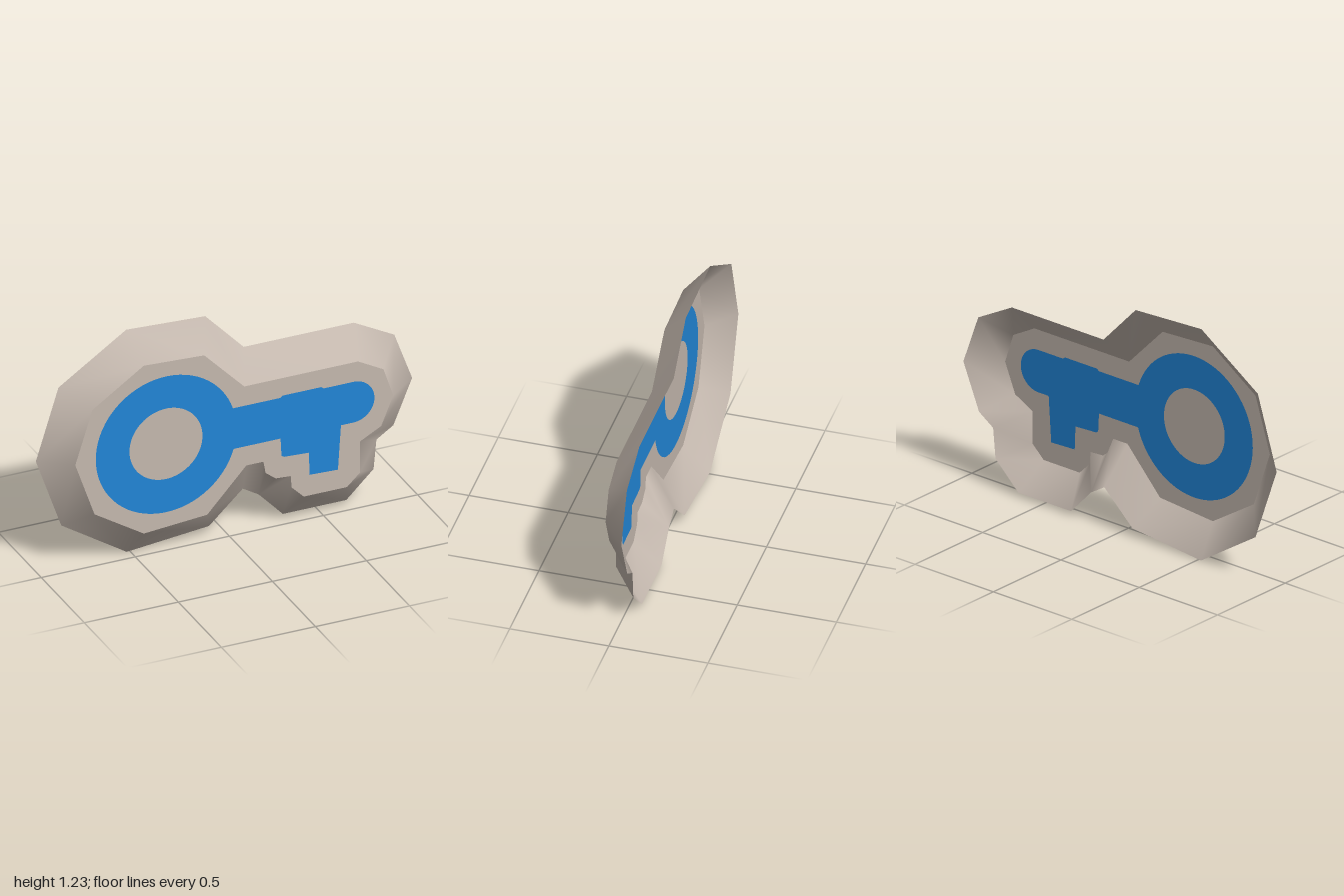
import * as THREE from 'three';
import { mergeVertices } from 'three/addons/utils/BufferGeometryUtils.js';

const HALF = 0.063; // half the depth of the shell

// Rim: [back x, back y, front x, front y], clockwise from the top of the bow
const RIM = [
  [-0.52, 1.227, -0.484, 1.083], [-0.10, 1.206, -0.163, 1.067],
  [0.105, 0.99, 0.05, 0.847], [0.69, 0.99, 0.655, 0.847],
  [0.905, 0.875, 0.79, 0.773], [1.0, 0.615, 0.842, 0.617],
  [0.90, 0.377, 0.778, 0.463], [0.81, 0.318, 0.666, 0.404],
  [0.795, 0.16, 0.666, 0.233], [0.65, 0.022, 0.596, 0.168],
  [0.313, 0.022, 0.366, 0.168], [0.185, 0.158, 0.302, 0.233],
  [0.185, 0.158, 0.297, 0.297], [0.185, 0.158, 0.217, 0.302],
  [0.185, 0.158, 0.163, 0.345], [0.10, 0.21, 0.152, 0.409],
  [0.10, 0.21, 0.061, 0.409], [-0.08, 0.045, -0.147, 0.185],
  [-0.517, 0.002, -0.484, 0.158], [-0.865, 0.227, -0.746, 0.324],
  [-1.0, 0.61, -0.848, 0.617], [-0.88, 0.99, -0.757, 0.901],
];

// Sloped wall between the wide open back and the narrow front
function wallGeometry() {
  const positions = [], index = [], n = RIM.length;
  RIM.forEach(([bx, by, fx, fy], i) => {
    positions.push(bx, by, -HALF, fx, fy, HALF);
    const a = 2 * i, b = 2 * ((i + 1) % n);
    index.push(a, a + 1, b + 1, a, b + 1, b);
  });
  let g = new THREE.BufferGeometry();
  g.setAttribute('position', new THREE.Float32BufferAttribute(positions, 3));
  g.setIndex(index);
  g = mergeVertices(g);
  g.computeVertexNormals();
  return g;
}

// Key silhouette: round bow, shaft with rounded tip, stepped bit
function keyOutline() {
  const s = new THREE.Shape();
  s.absarc(-0.365, 0.623, 0.374, 0.319, Math.PI * 2 - 0.291, false);
  [[0.243, 0.516], [0.248, 0.42], [0.262, 0.411], [0.393, 0.404], [0.398, 0.281],
    [0.548, 0.275], [0.564, 0.516]].forEach(([x, y]) => s.lineTo(x, y));
  s.absarc(0.63, 0.628, 0.112, -Math.PI / 2, Math.PI / 2, false);
  [[0.473, 0.74], [0.46, 0.75], [0.255, 0.75], [0.243, 0.74]].forEach(([x, y]) => s.lineTo(x, y));
  return s.getPoints(32);
}

export function createModel() {
  const stone = new THREE.MeshStandardMaterial({ color: 0xc4b8ae, side: THREE.DoubleSide });
  stone.name = 'warm grey';
  const blue = new THREE.MeshStandardMaterial({ color: 0x2185d6, side: THREE.DoubleSide });
  blue.name = 'blue';

  const group = new THREE.Group();
  group.name = 'keyBadge';
  const add = (name, geometry, material) => {
    const mesh = new THREE.Mesh(geometry, material);
    mesh.name = name;
    group.add(mesh);
    return mesh;
  };
  // Flat face at the front of the shell
  const addFace = (name, points, hole, material) => {
    const shape = new THREE.Shape(points);
    if (hole) shape.holes.push(new THREE.Path(hole));
    add(name, new THREE.ShapeGeometry(shape), material).position.z = HALF;
  };

  const key = keyOutline();
  const bowHole = new THREE.Path().absarc(-0.366, 0.626, 0.194, 0, Math.PI * 2, false).getPoints(48);
  const front = RIM.map(([, , x, y]) => new THREE.Vector2(x, y));

  add('slopedWall', wallGeometry(), stone);
  addFace('frontBorder', front, key, stone);
  addFace('key', key, bowHole, blue);
  addFace('bowCentre', bowHole, null, stone);
  return group;
}
